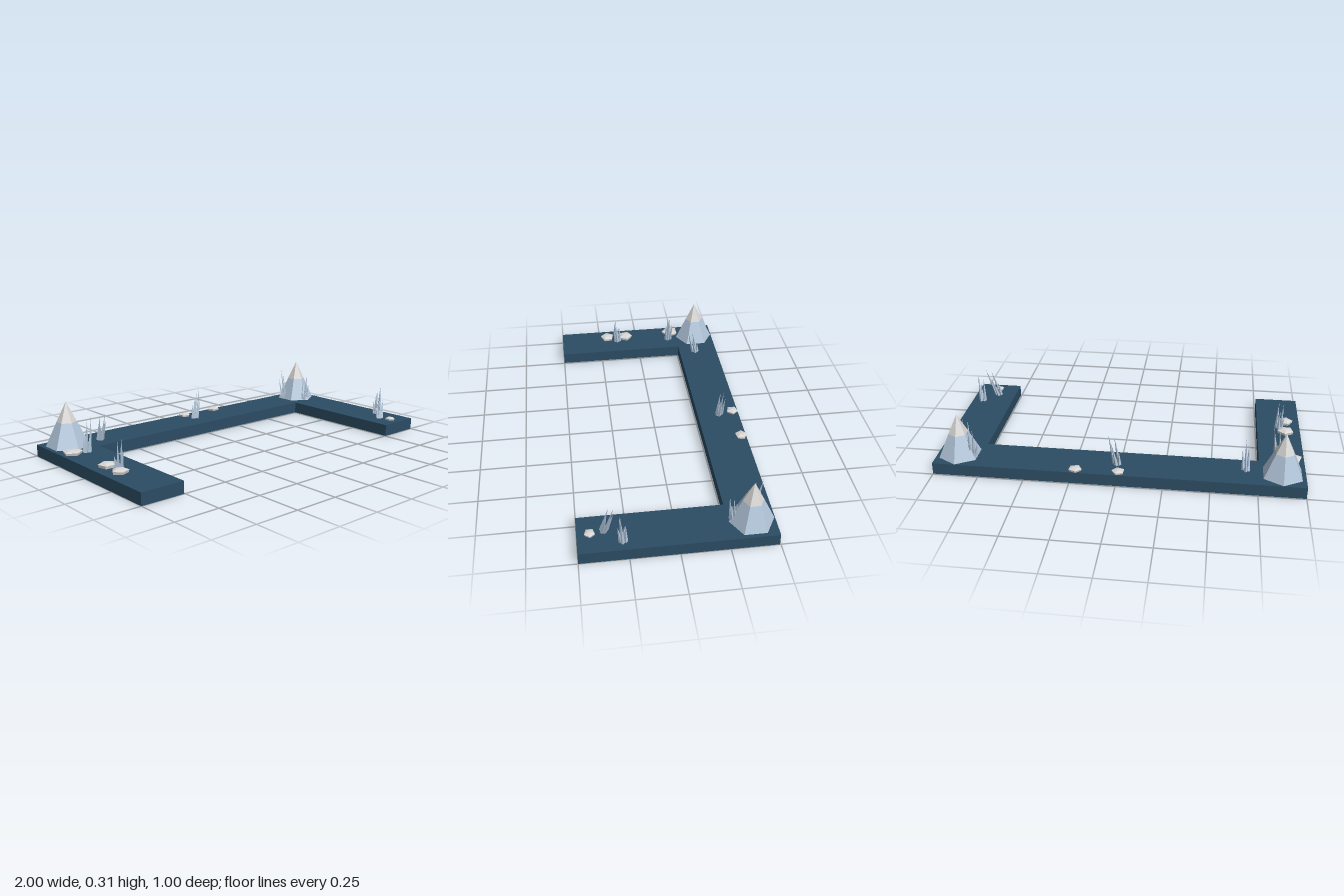
import * as THREE from 'three';

const GROUND = 0.066;

function material(name, color) {
  const m = new THREE.MeshStandardMaterial({ color });
  m.name = name;
  m.flatShading = true;
  return m;
}

export function createModel() {
  const model = new THREE.Group();
  const slate = material('deep slate blue', 0x2c4c63);
  const ice = material('pale ice blue', 0xb0c4d8);
  const snow = material('snow grey', 0xd6d5d3);

  const add = (parent, name, geometry, mat, x = 0, y = 0, z = 0) => {
    const mesh = new THREE.Mesh(geometry, mat);
    mesh.name = name;
    mesh.position.set(x, y, z);
    parent.add(mesh);
    return mesh;
  };

  // U-shaped base, open towards the front: a back beam and two arms
  const beam = new THREE.BoxGeometry(1.51, GROUND, 0.24);
  add(model, 'backBeam', beam, slate, 0, GROUND / 2, -0.375);
  for (const side of [-1, 1]) {
    const arm = new THREE.BoxGeometry(0.245, GROUND, 0.995);
    add(model, side > 0 ? 'leftArm' : 'rightArm', arm, slate, side * 0.8775, GROUND / 2, 0.0025);

    // Six-sided ice peak with a snowy cap on the back corner
    const peak = new THREE.Group();
    peak.name = side > 0 ? 'leftPeak' : 'rightPeak';
    peak.position.set(side * 0.877, GROUND, -0.375);
    add(peak, 'peakBody', new THREE.CylinderGeometry(0.054, 0.117, 0.134, 6, 1, true), ice, 0, 0.067, 0);
    add(peak, 'snowCap', new THREE.ConeGeometry(0.054, 0.11, 6, 1, true), snow, 0, 0.189, 0);
    model.add(peak);
  }

  // Low faceted stones: x, z, radius, height
  const stones = [
    [-0.012, -0.462, 0.036, 0.019],
    [0.22, -0.466, 0.037, 0.02],
    [-0.935, -0.222, 0.056, 0.024],
    [-0.915, 0.083, 0.048, 0.028],
    [-0.918, 0.203, 0.046, 0.026],
    [0.875, 0.435, 0.03, 0.018],
  ];
  const profile = [[0.92, 0], [1, 0.55], [0.55, 0.86], [0, 1]].map(([r, y]) => new THREE.Vector2(r, y));
  stones.forEach(([x, z, radius, height], i) => {
    const stone = new THREE.LatheGeometry(profile, 5);
    stone.rotateY(0.3 + i * 0.5);
    stone.scale(radius, height, radius * 0.95);
    add(model, 'stone', stone, snow, x, GROUND, z);
  });

  // Tufts of leaning ice blades: x, z, lean of the tallest blade in x and z, its height
  const tufts = [
    [-0.685, -0.355, 0.005, 0.035, 0.158],
    [0.005, -0.38, 0.03, -0.012, 0.185],
    [-0.86, -0.2, 0.02, -0.01, 0.185],
    [-0.88, 0.138, -0.005, 0.01, 0.158],
    [0.86, 0.365, 0.045, -0.045, 0.195],
    [0.94, 0.275, 0.004, 0.008, 0.17],
    [0.795, -0.4, -0.006, -0.032, 0.195],
    [0.865, -0.285, 0.005, 0.012, 0.165],
  ];
  const heights = [1, 0.9, 0.7, 0.62, 0.45];
  const up = new THREE.Vector3(0, 1, 0);
  for (const [x, z, leanX, leanZ, tall] of tufts) {
    const tuft = new THREE.Group();
    tuft.name = 'iceTuft';
    tuft.position.set(x, GROUND, z);
    heights.forEach((share, i) => {
      // Blades stand in a ring, and the shorter ones splay outwards
      const angle = x * 7 + i * 2.4;
      const base = new THREE.Vector3(Math.cos(angle), 0, Math.sin(angle)).multiplyScalar(0.014);
      const splay = base.clone().multiplyScalar(i * 0.22);
      const lean = new THREE.Vector3(leanX * share, tall * share, leanZ * share).add(splay);
      const length = lean.length();
      const cone = new THREE.ConeGeometry(0.011, length, 4);
      cone.translate(0, length / 2, 0);
      const blade = add(tuft, 'blade', cone, ice, base.x, 0, base.z);
      blade.quaternion.setFromUnitVectors(up, lean.normalize());
    });
    model.add(tuft);
  }

  return model;
}
